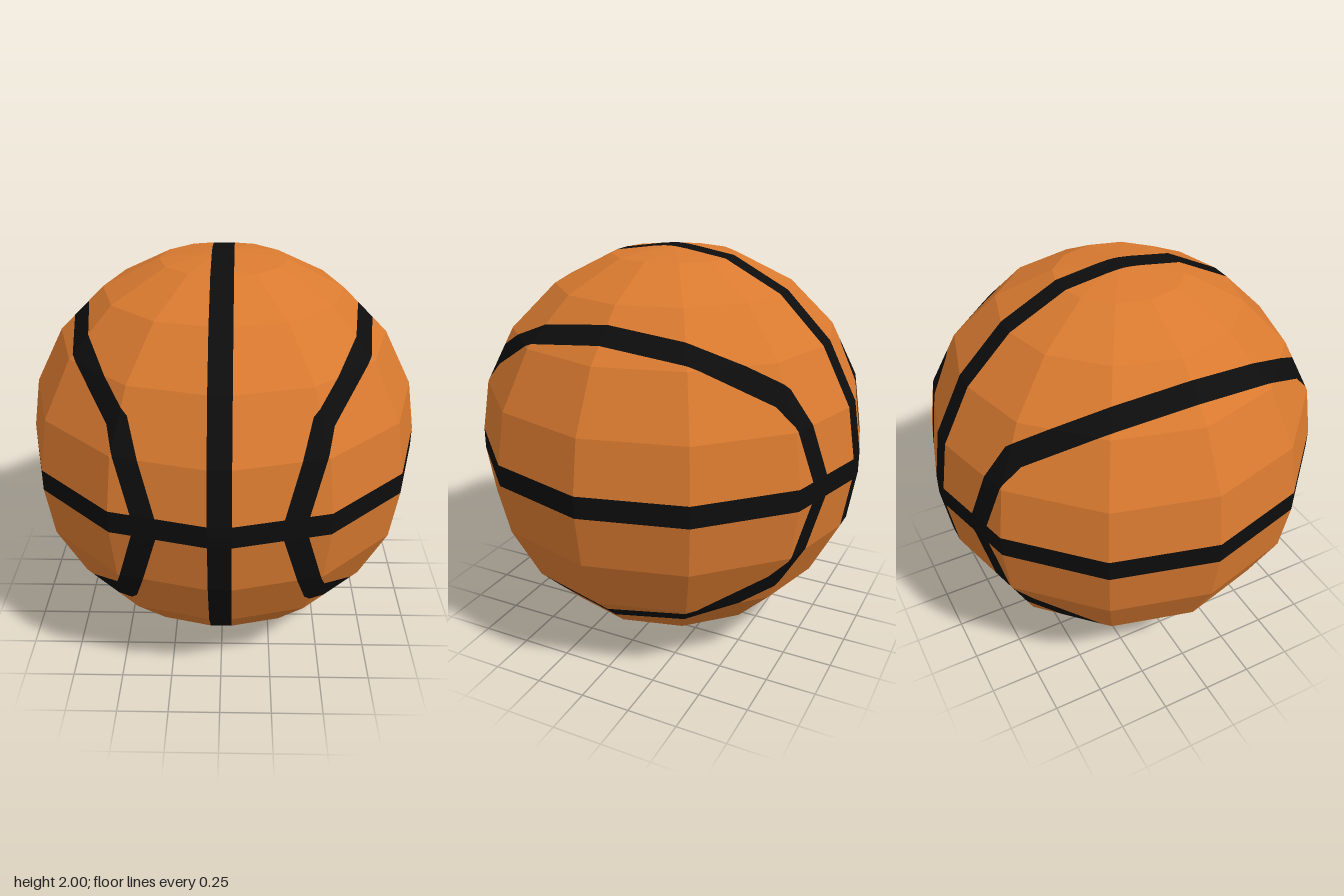
import * as THREE from 'three';

const H = 0.054;                                  // half width of a seam
const TAN9 = Math.tan(Math.PI / 20), TAN15 = Math.tan(Math.PI / 12);
const R = 1 + H * TAN9;                           // the seams flatten the ball back to radius 1

const rubber = new THREE.MeshStandardMaterial({ color: 0xd97a30, flatShading: true });
rubber.name = 'orange rubber';
const seamBlack = new THREE.MeshStandardMaterial({ color: 0x0d0d0d, flatShading: true });
seamBlack.name = 'seam black';

// Seam layout in one front quadrant: a leg from the equator to a bend, then a diagonal over the side
const bend = new THREE.Vector2(0.45, 0.45);
const leg = new THREE.Vector2(0.326, 0).sub(bend).normalize();
const diagonal = new THREE.Vector2(1, 1).normalize();
const across = (dir, p) => dir.x * (Math.abs(p.y) - bend.y) - dir.y * (Math.abs(p.x) - bend.x);
const pastBend = p =>
  (diagonal.x - leg.x) * (Math.abs(p.x) - bend.x) + (diagonal.y - leg.y) * (Math.abs(p.y) - bend.y);

// Lines along which the facets are cut
const cuts = [
  p => Math.abs(p.x) - H,
  p => Math.abs(p.y) - H,
  p => across(leg, p) - H,
  p => across(leg, p) + H,
  p => across(diagonal, p) - H,
  p => across(diagonal, p) + H,
  pastBend,
];

const isSeam = p => Math.abs(p.x) < H || Math.abs(p.y) < H ||
  Math.abs(across(pastBend(p) > 0 ? diagonal : leg, p)) < H;

// One side of a convex polygon cut by a line
function clip(poly, f, sign) {
  const out = [];
  poly.forEach((a, i) => {
    const b = poly[(i + 1) % poly.length];
    const fa = f(a) * sign, fb = f(b) * sign;
    if (fa >= -1e-7) out.push(a);
    if ((fa > 1e-7 && fb < -1e-7) || (fa < -1e-7 && fb > 1e-7)) out.push(a.clone().lerp(b, fa / (fa - fb)));
  });
  return out;
}

function split(polys, f) {
  return polys.flatMap(poly => {
    const values = poly.map(f);
    if (Math.min(...values) > -1e-6 || Math.max(...values) < 1e-6) return [poly];
    return [clip(poly, f, 1), clip(poly, f, -1)].filter(q => q.length > 2);
  });
}

// Flatten the ridges under the upright seam and the equator seam
function flatten(v) {
  const p = v.clone();
  const dx = H - Math.abs(v.x), dy = H - Math.abs(v.y);
  if (dx > 0) p.z -= Math.sign(v.z) * Math.min(Math.abs(v.z), dx * TAN15);
  if (dy > 0) {
    const s = 1 - dy * TAN9 / R;
    p.x *= s;
    p.z *= s;
  }
  p.y = THREE.MathUtils.clamp(p.y, -1, 1);
  return p;
}

function makeMesh(name, polys, material) {
  const points = [];
  for (const poly of polys) {
    const q = poly.map(flatten);
    for (let i = 1; i < q.length - 1; i++) points.push(q[0], q[i], q[i + 1]);
  }
  const geometry = new THREE.BufferGeometry().setFromPoints(points);
  geometry.computeVertexNormals();
  const mesh = new THREE.Mesh(geometry, material);
  mesh.name = name;
  mesh.position.y = 1;
  return mesh;
}

export function createModel() {
  // Faceted ball, cut into panels and seams
  const ball = new THREE.SphereGeometry(R, 12, 10).toNonIndexed().getAttribute('position');
  const panels = [], seams = [];
  for (let i = 0; i < ball.count; i += 3) {
    const triangle = [0, 1, 2].map(k => new THREE.Vector3().fromBufferAttribute(ball, i + k));
    for (const poly of cuts.reduce(split, [triangle])) {
      const middle = poly.reduce((sum, v) => sum.add(v), new THREE.Vector3()).divideScalar(poly.length);
      (isSeam(middle) ? seams : panels).push(poly);
    }
  }

  const group = new THREE.Group();
  group.name = 'ball';
  group.add(makeMesh('panels', panels, rubber), makeMesh('seams', seams, seamBlack));
  return group;
}
